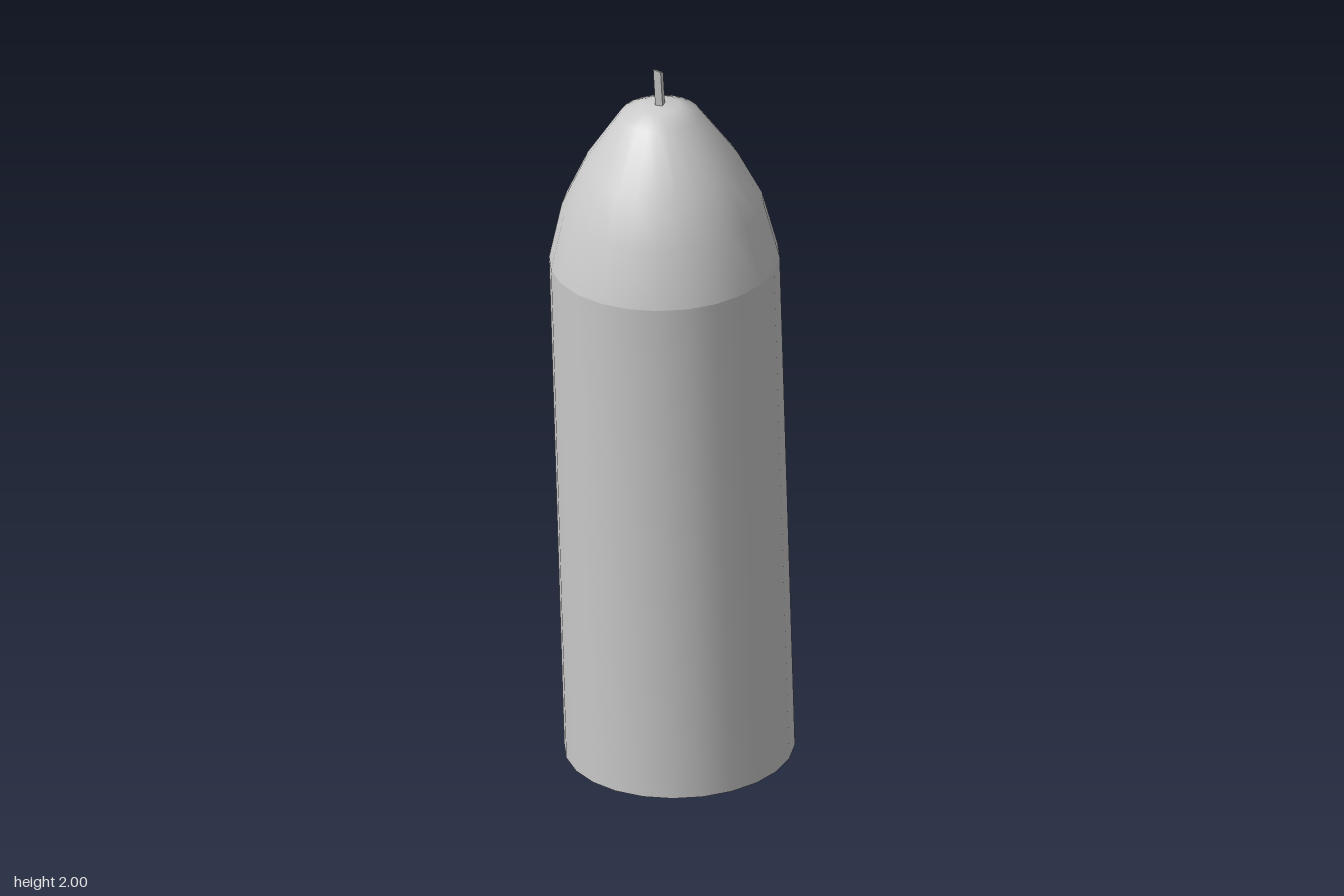
import * as THREE from 'three';

const SIDES = 24;
const RADIUS = 0.3;
const INNER = 0.247;
const HEIGHT = 1.433;
const TILT = THREE.MathUtils.degToRad(2.1);

export function createModel() {
  const model = new THREE.Group();
  model.name = 'candle';
  const material = new THREE.MeshStandardMaterial({ color: 0xcccccc });

  // The whole candle leans to one side about the centre of its base
  const leaning = new THREE.Group();
  leaning.name = 'leaningBody';
  leaning.position.set(0.026, RADIUS * Math.sin(TILT), 0);
  leaning.rotation.z = TILT;
  model.add(leaning);

  const add = (name, geometry) => {
    const mesh = new THREE.Mesh(geometry, material);
    mesh.name = name;
    leaning.add(mesh);
    return mesh;
  };
  const turn = (name, points) =>
    add(name, new THREE.LatheGeometry(points.map(([r, y]) => new THREE.Vector2(r, y)), SIDES));

  // Hollow tube, one surface per section so the rims stay sharp
  turn('outerWall', [[RADIUS, 0], [RADIUS, HEIGHT]]);
  turn('bottomRim', [[INNER, 0], [RADIUS, 0]]);
  turn('innerWall', [[INNER, HEIGHT], [INNER, 0]]);
  turn('innerCeiling', [[0, HEIGHT], [INNER, HEIGHT]]);

  // Rounded, tapering tip
  turn('dome', [
    [RADIUS, 0], [0.263, 0.155], [0.202, 0.28], [0.105, 0.421], [0.052, 0.447], [0, 0.45],
  ].map(([r, y]) => [r, y + HEIGHT]));

  // Square wick, turned about its axis and cut off at a slant
  const wickGeometry = new THREE.BoxGeometry(0.02, 0.12, 0.02);
  wickGeometry.rotateY(Math.PI / 6);
  const position = wickGeometry.attributes.position;
  for (let i = 0; i < position.count; i++) {
    if (position.getY(i) > 0) position.setY(i, 0.052 - position.getX(i) * 0.6);
  }
  wickGeometry.computeVertexNormals();
  const wick = add('wick', wickGeometry);
  wick.position.set(0, HEIGHT + 0.495, 0);
  wick.rotation.z = 0.03;

  return model;
}
